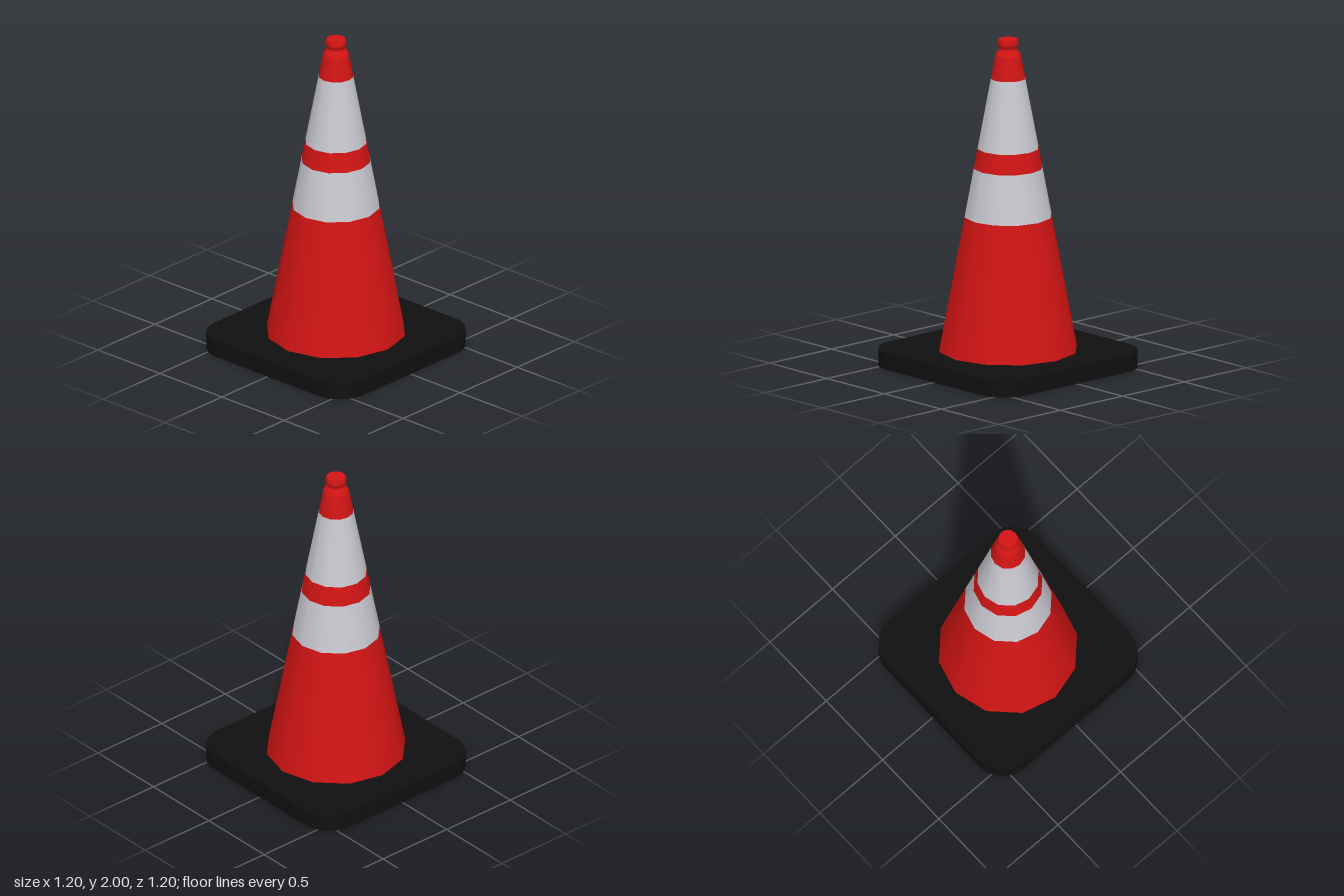
import * as THREE from 'three';
import { toCreasedNormals } from 'three/addons/utils/BufferGeometryUtils.js';

const SIDES = 12;

function material(name, color) {
  const m = new THREE.MeshStandardMaterial({ color });
  m.name = name;
  return m;
}

// Rounded square slab lying on the ground
function baseGeometry(half, radius, height) {
  const c = half - radius;
  const shape = new THREE.Shape();
  shape.moveTo(half, -c);
  shape.absarc(c, c, radius, 0, Math.PI / 2);
  shape.absarc(-c, c, radius, Math.PI / 2, Math.PI);
  shape.absarc(-c, -c, radius, Math.PI, Math.PI * 1.5);
  shape.absarc(c, -c, radius, Math.PI * 1.5, Math.PI * 2);
  const geo = new THREE.ExtrudeGeometry(shape, { depth: height, bevelEnabled: false, curveSegments: 5 });
  geo.rotateX(-Math.PI / 2);
  return toCreasedNormals(geo, 0.6);
}

export function createModel() {
  const group = new THREE.Group();
  const red = material('cone red', 0xd21414);
  const white = material('band white', 0xc9c8d0);
  const black = material('base black', 0x101010);

  const add = (name, geo, mat) => {
    const mesh = new THREE.Mesh(geo, mat);
    mesh.name = name;
    group.add(mesh);
  };
  // Turned part from [radius, height] pairs, bottom to top
  const turned = (name, profile, mat) =>
    add(name, new THREE.LatheGeometry(profile.map(([r, y]) => new THREE.Vector2(r, y)), SIDES), mat);

  add('base', baseGeometry(0.6, 0.19, 0.105), black);

  // Tapered body, split at the colour bands
  const radiusAt = (y) => 0.42 - (y - 0.1) * 0.19;
  const bands = [
    ['lowerBody', 0.1, 0.92, red],
    ['lowerBand', 0.92, 1.215, white],
    ['middleBody', 1.215, 1.335, red],
    ['upperBand', 1.335, 1.76, white],
    ['upperBody', 1.76, 1.9, red],
  ];
  for (const [name, y0, y1, mat] of bands) {
    turned(name, [[radiusAt(y0), y0], [radiusAt(y1), y1]], mat);
  }

  // Shoulder, neck and grip knob
  turned('knob', [
    [radiusAt(1.9), 1.9], [0.07, 1.918], [0.052, 1.937], [0.051, 1.948],
    [0.063, 1.96], [0.064, 1.975], [0.057, 2],
  ], red);
  turned('knobTop', [[0.057, 2], [0, 2]], red);

  return group;
}
